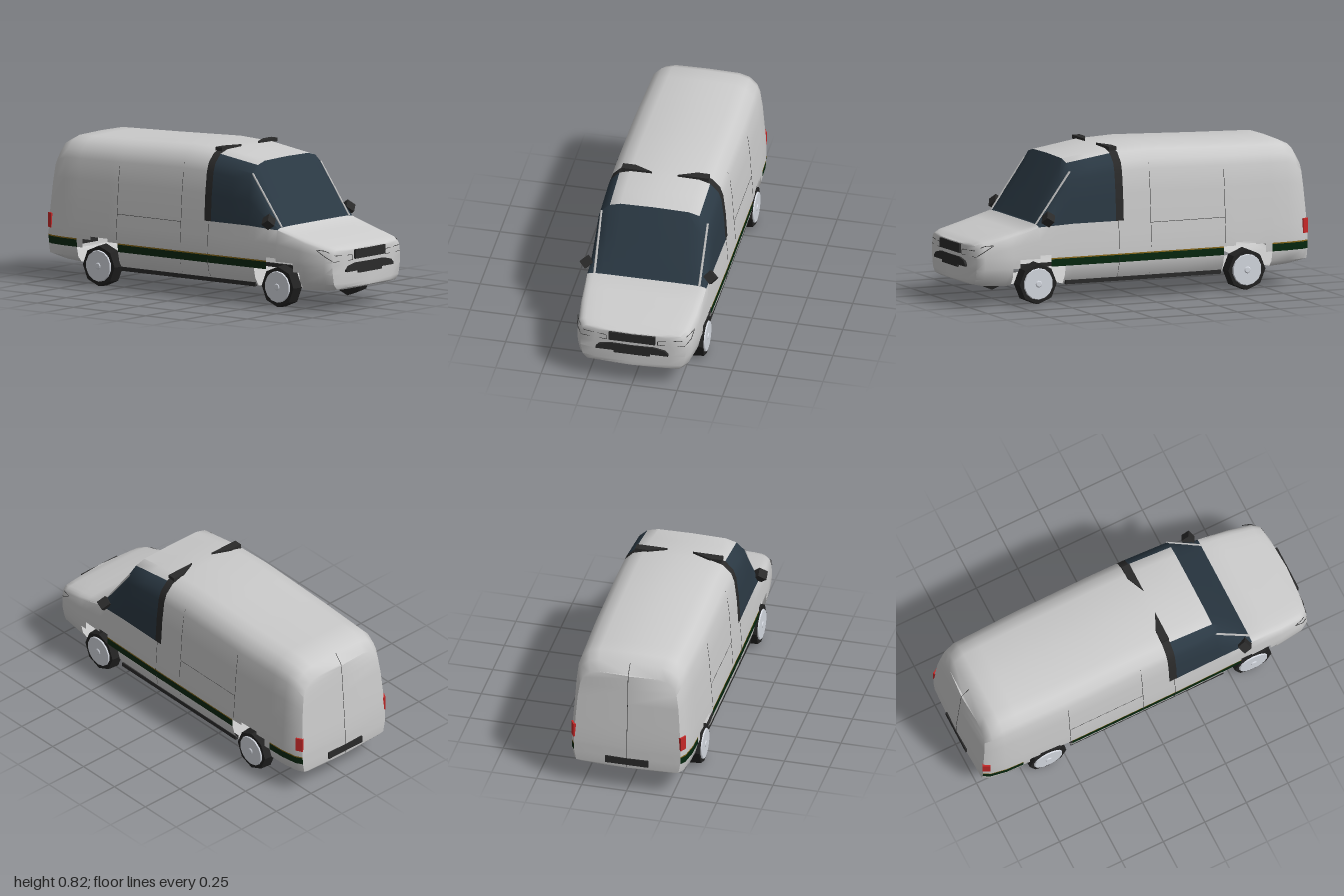
import * as THREE from 'three';
import { toCreasedNormals } from 'three/addons/utils/BufferGeometryUtils.js';

const mat = (color, options = {}) => new THREE.MeshStandardMaterial({ color, ...options });
// the shell is an open surface, cut out over the wheels
const open = { side: THREE.DoubleSide };
const paint = mat(0xcccccc, open), glass = mat(0x2b3944, open), black = mat(0x2a2a2a, open);
const green = mat(0x06280f, open), gold = mat(0x8a6a1c, open);
const red = mat(0xc62828), line = mat(0x3a3a3a), rimGrey = mat(0xd4d8e0);
const tyreBlack = mat(0x222222, { flatShading: true });

// Key stations along the van: x, floor y, belt y, roof y, width scale
const KEYS = [
  [-0.996, 0.145, 0.43, 0.71, 0], [-0.985, 0.14, 0.43, 0.71, 0.86], [-0.95, 0.135, 0.43, 0.765, 0.92],
  [-0.86, 0.122, 0.43, 0.793, 0.965], [-0.5, 0.097, 0.43, 0.803, 1], [-0.05, 0.097, 0.43, 0.82, 1],
  [0.165, 0.097, 0.43, 0.81, 1], [0.42, 0.097, 0.43, 0.77, 0.99], [0.62, 0.1, 0.422, 0.435, 0.98],
  [0.8, 0.105, 0.365, 0.388, 0.96], [0.93, 0.11, 0.33, 0.358, 0.91], [0.97, 0.117, 0.315, 0.344, 0.84],
  [0.985, 0.125, 0.308, 0.335, 0.6], [0.994, 0.128, 0.308, 0.335, 0],
];
// Extra columns where panels and wheel openings begin and end
const EDGES = [-0.76, -0.72, -0.66, -0.54, -0.47, -0.25, 0.12, 0.3, 0.465, 0.55, 0.615, 0.73, 0.77];
const COLUMNS = [...KEYS.map((k) => k[0]), ...EDGES].sort((a, b) => a - b);
// Half section, floor centre to roof centre: half width, height
const ROWS = [[0, 0], [0.2, 0], [0.3, 0.005], [0.33, 0.15], [0.343, 0.205], [0.345, 0.245], [0.345, 0.252], [0.345, 0.27],
  [0.341, 0.36], [0.335, 0.43], [0.326, 0.58], [0.312, 0.7], [0.295, 0.75], [0.25, 0.797], [0.19, 0.816], [0, 0.82]];

function station(x) {
  let i = 1;
  while (i < KEYS.length - 1 && KEYS[i][0] < x) i++;
  const a = KEYS[i - 1], b = KEYS[i], t = (x - a[0]) / (b[0] - a[0]);
  return a.map((v, n) => v + (b[n] - v) * t);
}

function section(x) {
  const [, floor, belt, roof, scale] = station(x);
  return ROWS.map(([z, h], j) => {
    let y = h;
    if (j < 3) y = floor + h;
    else if (j === 8) y = Math.min(h, (0.27 + belt) / 2);
    else if (j > 8) y = belt + (h - 0.43) / 0.39 * (roof - belt);
    // the tail leans forward towards the roof
    const lean = x < -0.9 ? 0.03 * Math.min(1, Math.max(0, (y - 0.3) / 0.4)) : 0;
    return new THREE.Vector3(x + lean, y, z * scale);
  });
}

// Which part a cell of the shell belongs to; null is a stepped wheel opening
function cellPart(x, k) {
  const inside = (a, b) => x > a && x < b;
  if (k >= 1 && k < 4 && (inside(-0.76, -0.47) || inside(0.465, 0.77))) return null;
  if ((k === 4 || k === 5) && (inside(-0.72, -0.47) || inside(0.55, 0.73))) return null;
  if (k === 6 && (inside(-0.66, -0.54) || inside(0.55, 0.615))) return null;
  if ((k === 4 || k === 5) && (inside(-0.985, -0.76) || inside(-0.47, 0.55))) return k === 4 ? 'sideStripe' : 'stripeEdge';
  if (k >= 9 && k < 14 && inside(0.12, 0.165)) return 'doorPillar';
  if (k >= 12 && inside(0.42, 0.62)) return 'windshield';
  if (k >= 9 && k < 13 && inside(0.165, 0.62)) return 'sideWindows';
  return 'body';
}

function addShell(group) {
  const rings = COLUMNS.map((x) => {
    const half = section(x);
    const other = half.slice(0, -1).reverse().map((p) => new THREE.Vector3(p.x, p.y, -p.z));
    return [...half, ...other];
  });
  const positions = [], cells = [];
  for (let i = 0; i < rings.length - 1; i++) {
    for (let j = 0; j < rings[i].length - 1; j++) {
      const k = j < 15 ? j : 29 - j;
      const part = cellPart((COLUMNS[i] + COLUMNS[i + 1]) / 2, k);
      if (!part) continue;
      const a = rings[i][j], b = rings[i + 1][j], c = rings[i + 1][j + 1], d = rings[i][j + 1];
      for (const p of [a, b, c, a, c, d]) positions.push(p.x, p.y, p.z);
      cells.push(part);
    }
  }
  const raw = new THREE.BufferGeometry();
  raw.setAttribute('position', new THREE.Float32BufferAttribute(positions, 3));
  const shell = toCreasedNormals(raw, 0.85);
  const materials = { body: paint, sideStripe: green, stripeEdge: gold, doorPillar: black, windshield: glass, sideWindows: glass };
  // split the smooth shell into its painted, glazed and trimmed parts
  for (const [name, material] of Object.entries(materials)) {
    const geo = new THREE.BufferGeometry();
    for (const key of ['position', 'normal']) {
      const src = shell.attributes[key].array, out = [];
      cells.forEach((part, n) => { if (part === name) out.push(...src.slice(n * 18, n * 18 + 18)); });
      geo.setAttribute(key, new THREE.Float32BufferAttribute(out, 3));
    }
    add(group, name, geo, material);
  }
}

function add(group, name, geo, material, x = 0, y = 0, z = 0) {
  const mesh = new THREE.Mesh(geo, material);
  mesh.name = name;
  mesh.position.set(x, y, z);
  group.add(mesh);
  return mesh;
}

function extrude(points, depth) {
  const shape = new THREE.Shape(points.map(([x, y]) => new THREE.Vector2(x, y)));
  return new THREE.ExtrudeGeometry(shape, { depth, bevelEnabled: false });
}

// Point on the body side at a given x and height
function onSide(x, y, side) {
  const s = section(x);
  let j = 3;
  while (j < 13 && s[j].y < y) j++;
  const t = (y - s[j - 1].y) / (s[j].y - s[j - 1].y);
  return new THREE.Vector3(x, y, side * (s[j - 1].z + (s[j].z - s[j - 1].z) * t));
}

function addTube(group, name, points, radius, material) {
  const path = new THREE.CurvePath();
  for (let i = 1; i < points.length; i++) path.add(new THREE.LineCurve3(points[i - 1], points[i]));
  add(group, name, new THREE.TubeGeometry(path, points.length * 6, radius, 4), material);
}

function addSeam(group, side, x0, y0, x1, y1) {
  const points = [];
  for (let i = 0; i <= 12; i++) points.push(onSide(x0 + (x1 - x0) * i / 12, y0 + (y1 - y0) * i / 12, side));
  addTube(group, 'panelSeam', points, 0.0013, line);
}

function addWheel(group, x, side) {
  const wheel = new THREE.Group();
  wheel.name = x > 0 ? 'frontWheel' : 'rearWheel';
  wheel.position.set(x, 0.115, side * 0.3);
  wheel.rotation.x = side * Math.PI / 2;
  add(wheel, 'tyre', new THREE.CylinderGeometry(0.11, 0.115, 0.066, 8), tyreBlack);
  add(wheel, 'rim', new THREE.CylinderGeometry(0.083, 0.087, 0.008, 14), rimGrey, 0, 0.036, 0);
  add(wheel, 'hubCap', new THREE.CylinderGeometry(0.014, 0.02, 0.005, 8), rimGrey, 0, 0.042, 0);
  group.add(wheel);
}

export function createModel() {
  const van = new THREE.Group();
  van.name = 'van';
  addShell(van);

  for (const side of [1, -1]) {
    addWheel(van, -0.61, side);
    addWheel(van, 0.625, side);

    // door seams
    addSeam(van, side, -0.48, 0.27, -0.48, 0.67);
    addSeam(van, side, -0.04, 0.13, -0.04, 0.73);
    addSeam(van, side, 0.15, 0.13, 0.15, 0.43);
    addSeam(van, side, -0.48, 0.41, -0.04, 0.41);

    // pointed end of the door pillar trim on the roof
    const tip = extrude([[0.12, side * 0.24], [0.165, side * 0.24], [0.165, side * 0.07], [0.12, side * 0.17]], 0.02);
    add(van, 'pillarTip', tip, black, 0, 0.82, 0).rotation.x = Math.PI / 2;

    // windshield pillar along the corner of the glass
    const pillar = [0.42, 0.53, 0.62].map((x) => section(x)[12].multiply(new THREE.Vector3(1, 1, side)));
    addTube(van, 'windshieldPillar', pillar, 0.007, paint);

    // door mirror
    const mirror = add(van, 'doorMirror', new THREE.BoxGeometry(0.05, 0.05, 0.055), black, 0.57, 0.465, side * 0.342);
    mirror.rotation.set(side * 0.65, side * 0.4, 0.4);

    add(van, 'sillSkirt', new THREE.BoxGeometry(0.92, 0.022, 0.02), black, -0.005, 0.111, side * 0.307);

    // tail light wrapped on the rear corner
    const lamp = add(van, 'tailLight', new THREE.BoxGeometry(0.042, 0.08, 0.018), red, -0.965, 0.33, side * 0.301);
    lamp.rotation.y = side * -0.5;

    // headlight outline
    const outline = [[0.99, 0.275, 0.14], [0.99, 0.303, 0.14], [0.975, 0.308, 0.27], [0.93, 0.335, 0.308],
      [0.88, 0.338, 0.322], [0.935, 0.305, 0.314], [0.972, 0.275, 0.285], [0.99, 0.275, 0.14]];
    addTube(van, 'headlightFrame', outline.map(([x, y, z]) => new THREE.Vector3(x, y, z * side)), 0.0018, line);
  }

  // front grille and lower intake
  add(van, 'grille', new THREE.BoxGeometry(0.02, 0.05, 0.256), black, 0.99, 0.304, 0);
  const intake = extrude([[-0.2, 0.214], [-0.1, 0.214], [-0.1, 0.2], [0.1, 0.2], [0.1, 0.214], [0.2, 0.214],
    [0.2, 0.225], [0.18, 0.245], [0.12, 0.258], [-0.12, 0.258], [-0.18, 0.245], [-0.2, 0.225]], 0.02);
  add(van, 'lowerIntake', intake, black, 0.979, 0, 0).rotation.y = Math.PI / 2;

  // rear door seam and step
  const tail = section(-0.996);
  addTube(van, 'rearDoorSeam', [...tail.slice(3, 10), tail[15], section(-0.95)[15]], 0.0015, line);
  add(van, 'rearStep', new THREE.BoxGeometry(0.02, 0.04, 0.24), black, -0.99, 0.185, 0);
  return van;
}
